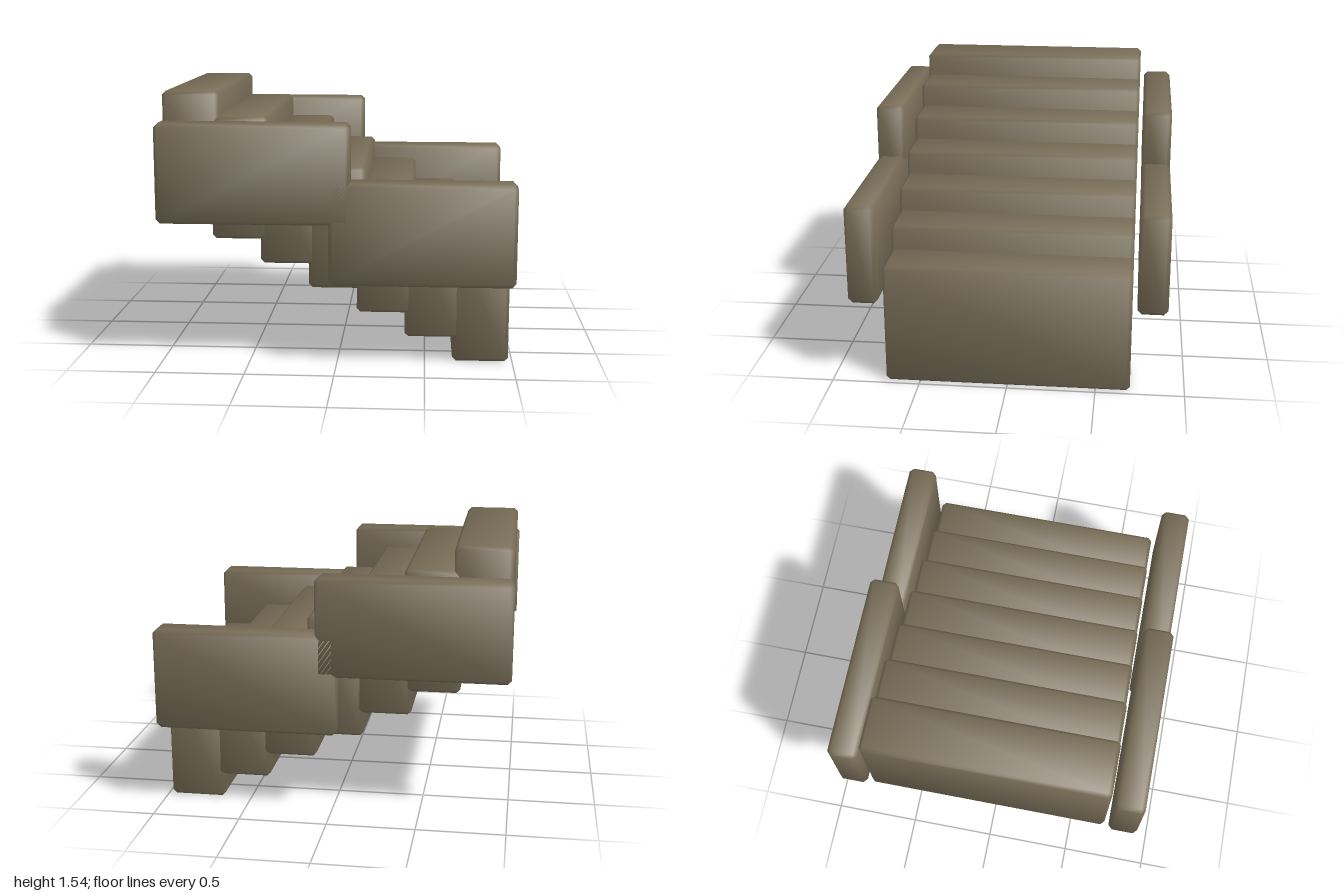
import * as THREE from 'three';
import { ConvexGeometry } from 'three/addons/geometries/ConvexGeometry.js';

// Box with chamfered edges and soft normals that lean outwards at every corner
function chamferBox(w, h, d, c) {
  const half = [w / 2, h / 2, d / 2];
  const points = [];
  for (let axis = 0; axis < 3; axis++)
    for (const sx of [-1, 1]) for (const sy of [-1, 1]) for (const sz of [-1, 1]) {
      const p = [sx, sy, sz].map((s, i) => s * (half[i] - (i === axis ? 0 : c)));
      points.push(new THREE.Vector3(...p));
    }
  const geometry = new ConvexGeometry(points);
  const pos = geometry.attributes.position, normal = geometry.attributes.normal;
  const n = new THREE.Vector3();
  for (let i = 0; i < pos.count; i++) {
    const p = [pos.getX(i), pos.getY(i), pos.getZ(i)];
    n.set(...p.map((v, k) => Math.sign(v) * (Math.abs(v) > half[k] - c / 2 ? 3 : 1.28))).normalize();
    normal.setXYZ(i, n.x, n.y, n.z);
  }
  return geometry;
}

export function createModel() {
  const model = new THREE.Group();
  model.name = 'staircase';
  const stone = new THREE.MeshStandardMaterial({ color: 0x776c56 });
  stone.name = 'brown stone';

  const add = (name, geometry, x, y, z) => {
    const mesh = new THREE.Mesh(geometry, stone);
    mesh.name = name;
    mesh.position.set(x, y, z);
    model.add(mesh);
  };

  // Seven overlapping steps, rising towards -x
  const stepGeometry = chamferBox(0.32, 0.7, 1.39, 0.021);
  for (let i = 0; i < 7; i++)
    add('step' + (i + 1), stepGeometry, 0.817 - i * 0.274, 0.35 + i * 0.14, 0);

  // Two overlapping side walls along each flank
  const upperWall = chamferBox(1.08, 0.56, 0.17, 0.023);
  const lowerWall = chamferBox(1.04, 0.58, 0.17, 0.025);
  for (const [side, s] of [['front', 1], ['back', -1]]) {
    add(side + 'UpperWall', upperWall, -0.46, 1.1, s * 0.807);
    add(side + 'LowerWall', lowerWall, 0.48, 0.77, s * 0.807);
  }
  return model;
}
